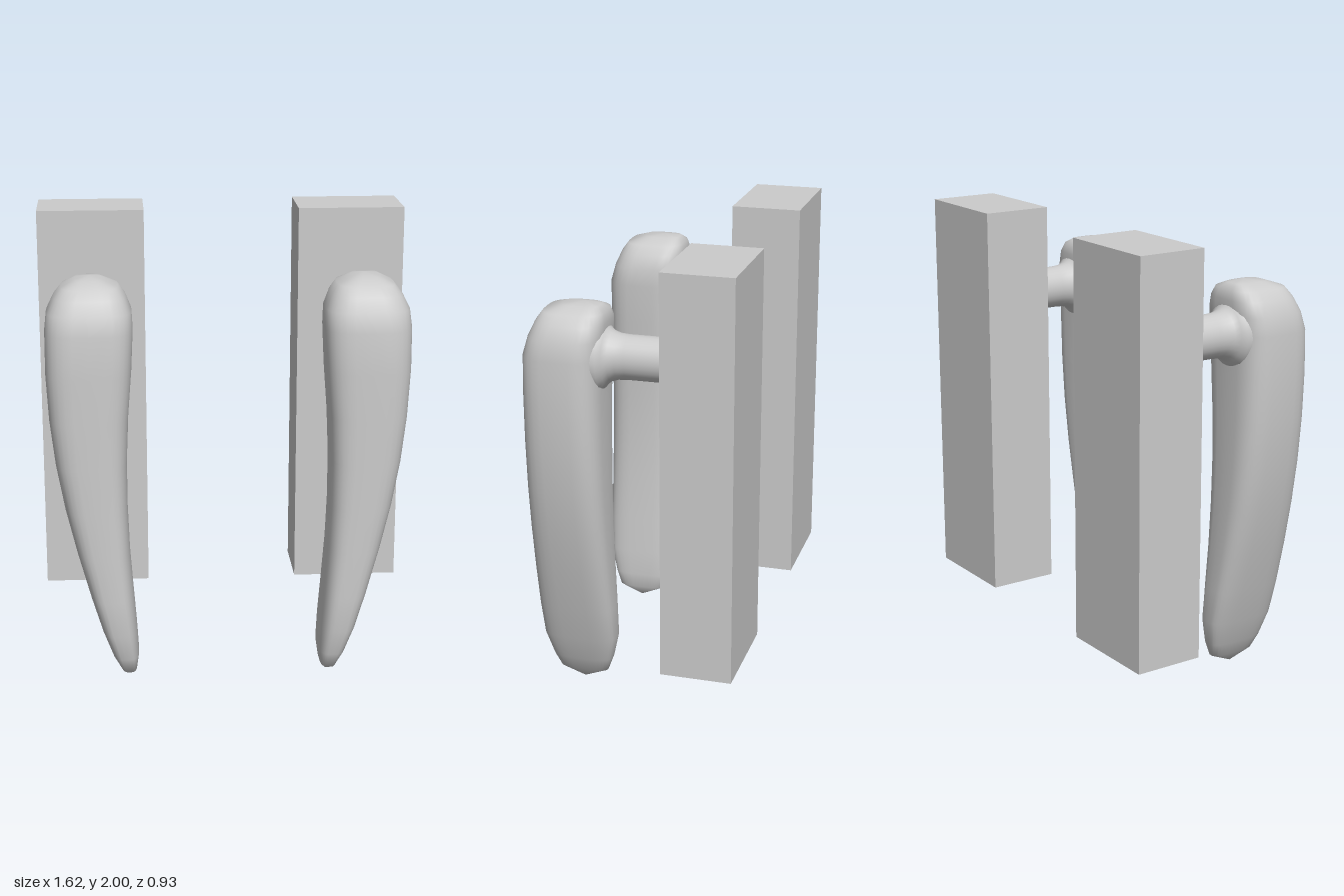
import * as THREE from 'three';
import { mergeVertices } from 'three/addons/utils/BufferGeometryUtils.js';

const grey = new THREE.MeshStandardMaterial({ color: 0xcccccc });

// Grip cross-sections from top to bottom: y, inner x, outer x, back z, front z
const SECTIONS = [
  [1.795, 0.58, 0.58, 0.22, 0.22],
  [1.785, 0.53, 0.645, 0.15, 0.31],
  [1.76, 0.462, 0.702, 0.125, 0.385],
  [1.72, 0.432, 0.735, 0.116, 0.413],
  [1.66, 0.407, 0.765, 0.12, 0.44],
  [1.58, 0.403, 0.774, 0.127, 0.463],
  [1.4, 0.412, 0.775, 0.13, 0.465],
  [1.2, 0.428, 0.764, 0.13, 0.465],
  [1.0, 0.437, 0.741, 0.13, 0.465],
  [0.8, 0.437, 0.705, 0.13, 0.465],
  [0.6, 0.43, 0.658, 0.13, 0.465],
  [0.4, 0.416, 0.604, 0.13, 0.465],
  [0.24, 0.404, 0.556, 0.133, 0.46],
  [0.12, 0.397, 0.513, 0.163, 0.43],
  [0.05, 0.407, 0.475, 0.19, 0.405],
  [0.0, 0.437, 0.437, 0.3, 0.3],
];

const soften = (v) => Math.sign(v) * Math.abs(v) ** 0.62;

// Loft of rounded-square loops through the sections
function gripGeometry(side) {
  const n = 32, pos = [], index = [];
  SECTIONS.forEach(([y, x0, x1, z0, z1], i) => {
    for (let j = 0; j < n; j++) {
      const t = (j / n) * Math.PI * 2;
      pos.push(
        side * ((x0 + x1) / 2 + ((x1 - x0) / 2) * soften(Math.cos(t))),
        y,
        (z0 + z1) / 2 + ((z1 - z0) / 2) * soften(Math.sin(t)));
      if (i === SECTIONS.length - 1) continue;
      const a = i * n + j, b = i * n + ((j + 1) % n), c = a + n, d = b + n;
      if (side > 0) index.push(a, b, c, b, d, c);
      else index.push(a, c, b, b, c, d);
    }
  });
  const g = new THREE.BufferGeometry();
  g.setAttribute('position', new THREE.Float32BufferAttribute(pos, 3));
  g.setIndex(index);
  const merged = mergeVertices(g);
  merged.computeVertexNormals();
  return merged;
}

// Round post that flares into the back of the grip
function postGeometry() {
  const profile = [
    [0.094, -0.17], [0.094, 0.03], [0.097, 0.07], [0.106, 0.098],
    [0.122, 0.118], [0.145, 0.135], [0.15, 0.16],
  ].map(([r, z]) => new THREE.Vector2(r, z));
  return new THREE.LatheGeometry(profile, 28).rotateX(Math.PI / 2).scale(0.92, 1, 1);
}

function add(group, name, geometry, x = 0, y = 0, z = 0) {
  const mesh = new THREE.Mesh(geometry, grey);
  mesh.name = name;
  mesh.position.set(x, y, z);
  group.add(mesh);
}

export function createModel() {
  const model = new THREE.Group();
  model.name = 'doorHandles';
  for (const side of [1, -1]) {
    const handle = new THREE.Group();
    handle.name = side > 0 ? 'leftHandle' : 'rightHandle';
    add(handle, 'mountingBlock', new THREE.BoxGeometry(0.47, 1.735, 0.305), side * 0.577, 1.1325, -0.3125);
    add(handle, 'post', postGeometry(), side * 0.596, 1.575, 0);
    add(handle, 'grip', gripGeometry(side));
    model.add(handle);
  }
  return model;
}
